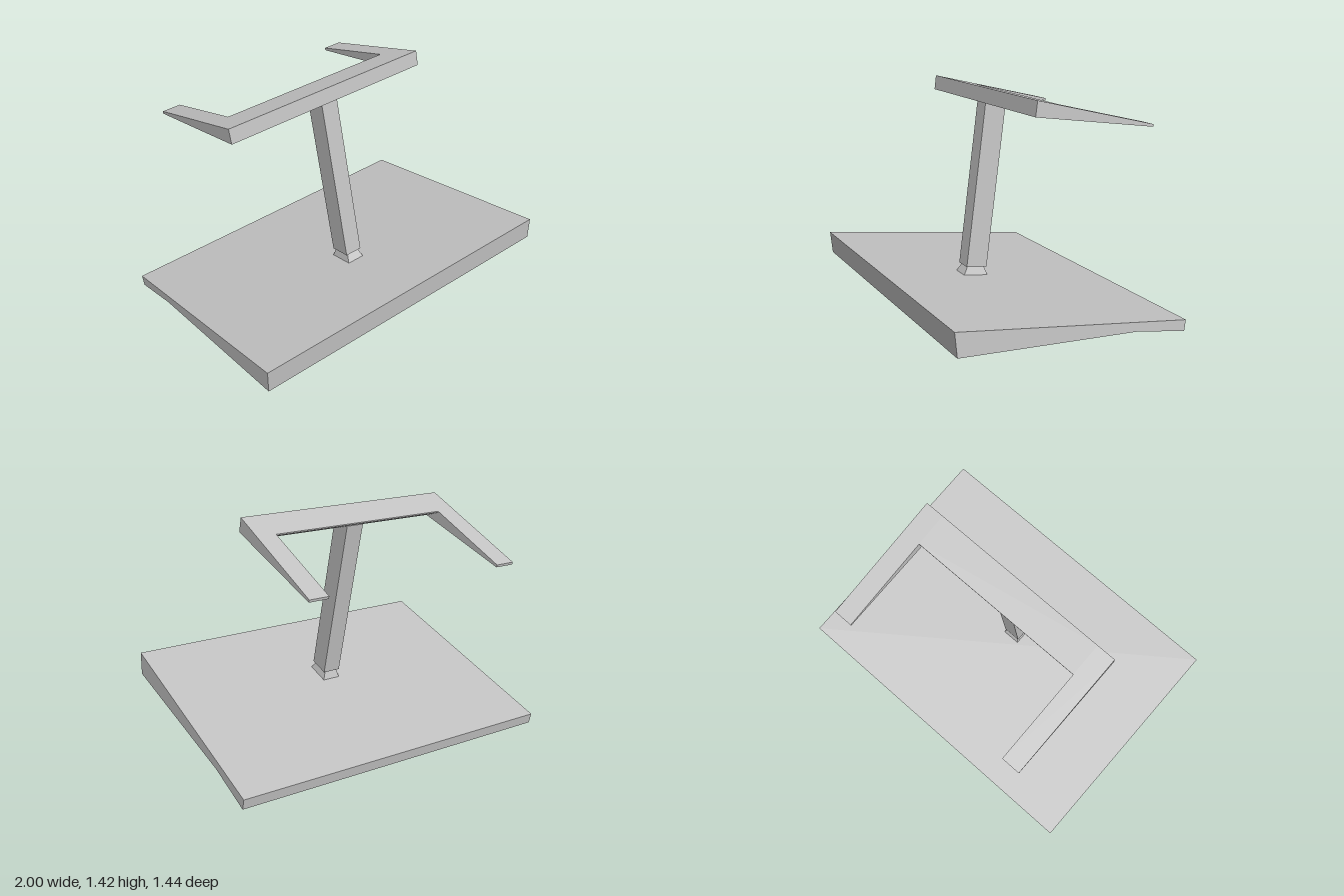
import * as THREE from 'three';

export function createModel() {
  const grey = new THREE.MeshStandardMaterial({ color: 0xc4c4c4 });
  grey.name = 'plainGrey';

  const model = new THREE.Group();
  model.name = 'standWithForkedTop';

  // The whole stand leans back and to one side
  const stand = new THREE.Group();
  stand.name = 'tiltedStand';
  stand.rotation.set(-0.16, 0, 0.0615);
  stand.position.set(-0.004, 0.242, 0.005);
  model.add(stand);

  function add(name, geometry, x = 0, y = 0, z = 0) {
    const mesh = new THREE.Mesh(geometry, grey);
    mesh.name = name;
    mesh.position.set(x, y, z);
    stand.add(mesh);
    return mesh;
  }

  // Side profile given as [z, y] points, extruded across x and centred on it
  function across(profile, width) {
    const shape = new THREE.Shape(profile.map(([z, y]) => new THREE.Vector2(z, y)));
    const geometry = new THREE.ExtrudeGeometry(shape, { depth: width, bevelEnabled: false });
    return geometry.rotateY(-Math.PI / 2).translate(width / 2, 0, 0);
  }

  // Wedge-shaped base plate, thick at the front
  const halfBase = 0.997;
  add('basePlate', across([
    [0.716, 0], [-0.716, 0], [-0.716, -0.028], [0.684, -0.1375],
  ], halfBase * 2));

  // Lip under the rear edge, and the thin side skirts running into it
  add('rearLip', across([
    [-0.689, -0.02], [-0.716, -0.02], [-0.716, -0.066], [-0.689, -0.066],
  ], halfBase * 2));
  for (const side of [-1, 1]) {
    add(side > 0 ? 'leftSkirt' : 'rightSkirt', across([
      [-0.388, -0.0535], [-0.716, -0.027], [-0.716, -0.066],
    ], 0.012), side * (halfBase - 0.006));
  }

  // Post on a small tapered foot
  const postZ = 0.136;
  const foot = new THREE.CylinderGeometry(0.7 * Math.SQRT1_2, Math.SQRT1_2, 0.05, 4, 1)
    .rotateY(Math.PI / 4).scale(0.11, 1, 0.155).toNonIndexed();
  foot.computeVertexNormals();
  add('postFoot', foot, 0, 0.025, postZ);
  add('post', new THREE.BoxGeometry(0.107, 1.01, 0.132), 0, 0.555, postZ);

  // Cross bar, its underside sloping up to a thin rear edge
  add('crossBar', across([
    [0.213, 1.126], [0.0155, 1.105], [0.0155, 1.097], [0.11, 1.037], [0.213, 1.037],
  ], 1.09));

  // Tapering arms reaching back from both ends of the bar
  for (const side of [-1, 1]) {
    add(side > 0 ? 'leftArm' : 'rightArm', across([
      [0.213, 1.126], [-0.555, 1.044], [-0.555, 1.029], [0.213, 1.037],
    ], 0.115), side * 0.6025);
  }

  return model;
}
